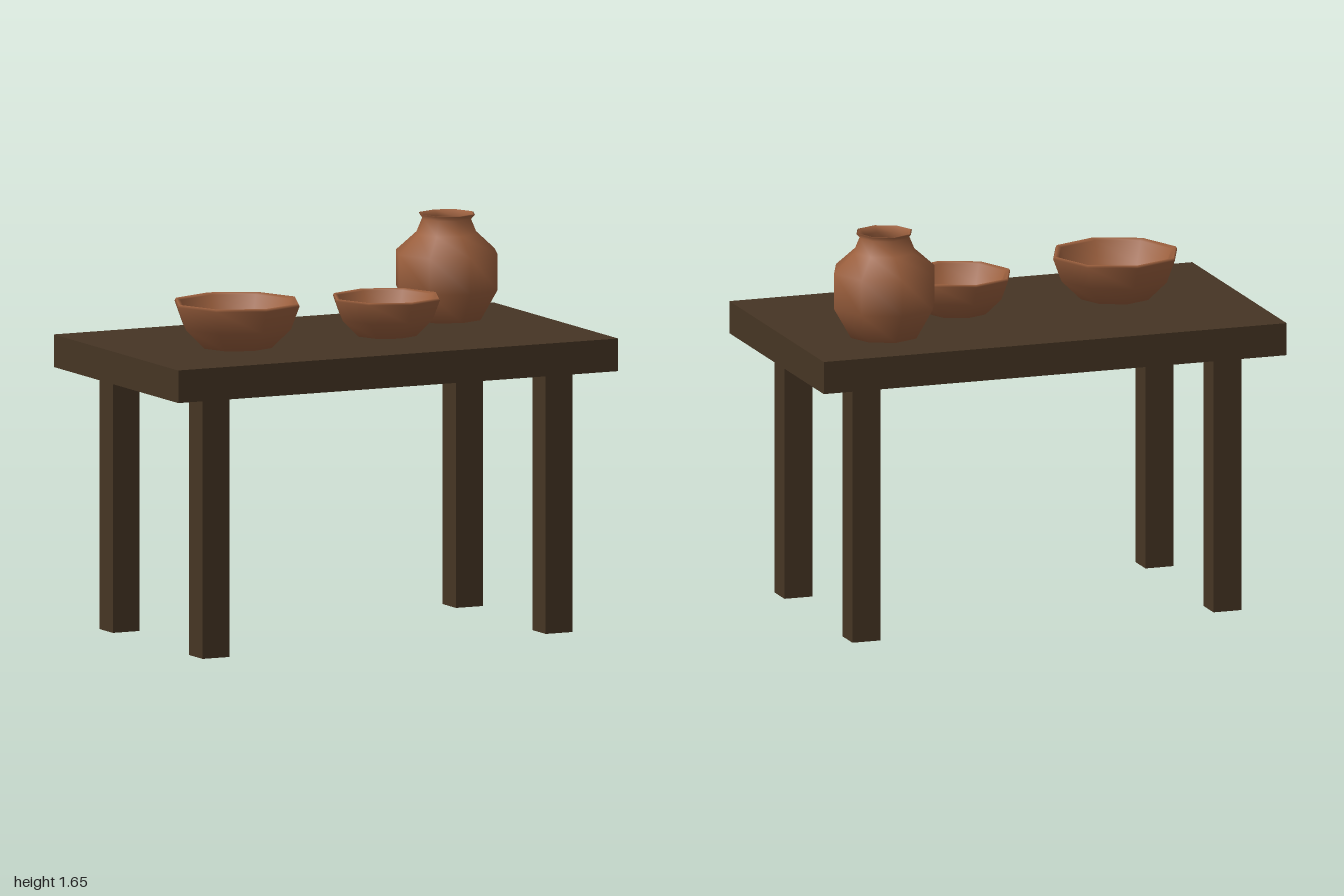
import * as THREE from 'three';

const TOP = 1.208; // height of the table surface

export function createModel() {
  const model = new THREE.Group();
  const wood = new THREE.MeshStandardMaterial({ name: 'darkWood', color: 0x463524 });
  const clay = new THREE.MeshStandardMaterial({ name: 'terracotta', color: 0x9c603e });

  const box = (name, w, h, d, x, y, z) => {
    const mesh = new THREE.Mesh(new THREE.BoxGeometry(w, h, d), wood);
    mesh.name = name;
    mesh.position.set(x, y, z);
    model.add(mesh);
  };

  // Eight-sided pottery turned from a closed [radius, height] profile
  const pot = (name, profile, x, z, scale = 1) => {
    const points = profile.map(([r, y]) => new THREE.Vector2(r, y));
    const mesh = new THREE.Mesh(new THREE.LatheGeometry(points, 8), clay);
    mesh.name = name;
    mesh.position.set(x, TOP, z);
    mesh.scale.setScalar(scale);
    model.add(mesh);
  };

  // Table
  box('tableTop', 2, 0.134, 1.13, 0, TOP - 0.067, 0);
  for (const [sx, side] of [[1, 'left'], [-1, 'right']]) {
    for (const [sz, end] of [[1, 'Front'], [-1, 'Back']]) {
      box(`${side}${end}Leg`, 0.122, 1.076, 0.122, sx * 0.78, 0.538, sz * 0.407);
    }
  }

  // Bowls: base, outer wall, rim, then inner wall down to the centre
  const bowl = [
    [0, 0.004], [0.148, 0.004], [0.232, 0.086], [0.268, 0.181], [0.262, 0.192],
    [0.242, 0.184], [0.208, 0.095], [0.13, 0.032], [0, 0.022],
  ];
  pot('largeBowl', bowl, -0.497, 0.094);
  pot('smallBowl', bowl, 0.195, 0.068, 0.855);

  // Jar: rounded body, pinched neck, flared lip and hollow inside
  const jar = [
    [0, 0.004], [0.144, 0.004], [0.217, 0.13], [0.217, 0.279], [0.13, 0.357],
    [0.104, 0.418], [0.12, 0.436], [0.112, 0.438], [0.086, 0.414], [0.108, 0.35],
    [0.195, 0.268], [0.195, 0.138], [0.13, 0.03], [0, 0.025],
  ];
  pot('jar', jar, 0.615, -0.222);

  return model;
}
